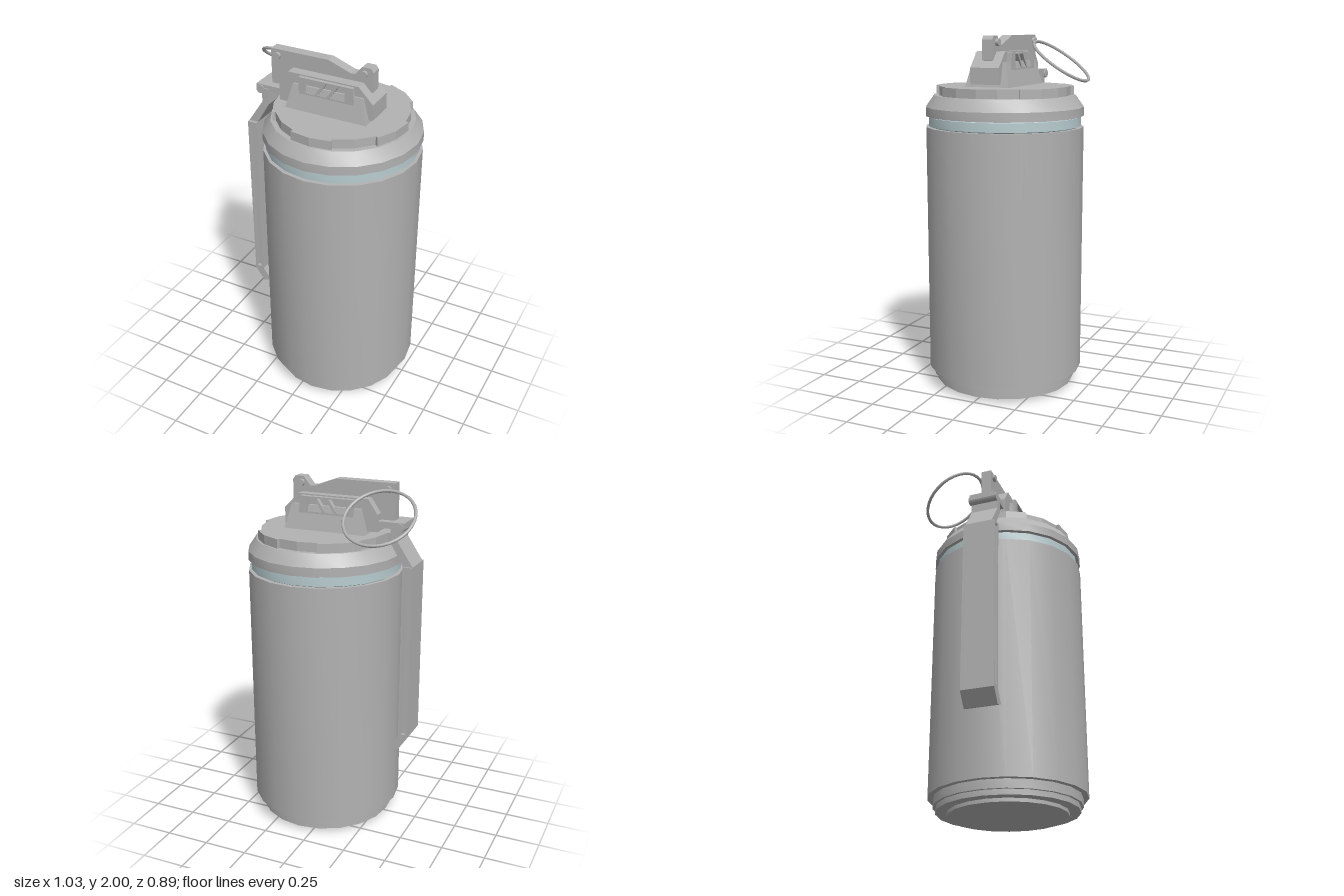
import * as THREE from 'three';
import { toCreasedNormals } from 'three/addons/utils/BufferGeometryUtils.js';

const CX = 0.077;      // axis of the can
const SX = 0.98;       // the can is very slightly oval
const SIDES = 20;

export function createModel() {
  const model = new THREE.Group();
  const grey = new THREE.MeshStandardMaterial({ name: 'grey metal', color: 0xb2b2b2 });
  const blue = new THREE.MeshStandardMaterial({ name: 'pale blue band', color: 0xb9cdd1 });

  const add = (name, geometry, material = grey) => {
    const mesh = new THREE.Mesh(geometry, material);
    mesh.name = name;
    model.add(mesh);
    return mesh;
  };

  // Turned part: smooth around, sharp at the steps
  const turned = (name, profile, material) => {
    const points = profile.map(([r, y]) => new THREE.Vector2(r, y));
    const mesh = add(name, toCreasedNormals(new THREE.LatheGeometry(points, SIDES), 0.4), material);
    mesh.position.x = CX;
    mesh.scale.x = SX;
    return mesh;
  };

  // Side profile in x and y, extruded from z0 to z1
  const toPath = (pts, Type) => new Type(pts.map(([x, y]) => new THREE.Vector2(x, y)));
  const slab = (name, pts, z0, z1, holes = []) => {
    const shape = toPath(pts, THREE.Shape);
    shape.holes = holes.map((h) => toPath(h, THREE.Path));
    const g = new THREE.ExtrudeGeometry(shape, { depth: z1 - z0, bevelEnabled: false });
    g.translate(0, 0, z0);
    return add(name, g);
  };

  const box = (name, x0, x1, y0, y1, z0, z1) => {
    const g = new THREE.BoxGeometry(x1 - x0, y1 - y0, z1 - z0);
    g.translate((x0 + x1) / 2, (y0 + y1) / 2, (z0 + z1) / 2);
    return add(name, g);
  };

  // Can with stepped foot
  turned('canBody', [
    [0, 0], [0.338, 0], [0.338, 0.02], [0.4, 0.02], [0.4, 0.05],
    [0.415, 0.05], [0.415, 0.1], [0.446, 0.1], [0.446, 1.5], [0.42, 1.5],
  ]);
  turned('colourBand', [[0.42, 1.5], [0.43, 1.505], [0.43, 1.555], [0.42, 1.56]], blue);
  turned('lid', [[0.42, 1.56], [0.446, 1.56], [0.446, 1.61], [0.4, 1.675], [0, 1.675]]);

  // Toothed cap: ten teeth and ten gaps
  const cog = [];
  for (let i = 0; i < 10; i++) {
    const r = i % 2 ? 0.388 : 0.37;
    for (const half of [-1, 0, 1]) {
      const a = Math.PI / 2 + (i * 2 + half) * Math.PI / 10;
      cog.push([r * Math.cos(a), r * Math.sin(a)]);
    }
  }
  for (let i = 10; i < 20; i++) cog.length = 30;
  const cap = slab('toothedCap', cog, 0, 0.05);
  cap.geometry.rotateX(-Math.PI / 2);
  cap.position.set(CX, 1.675, 0);
  cap.scale.x = SX;

  // Sloping base of the head: a box drawn in at the top
  const base = new THREE.BoxGeometry(1, 1, 1);
  const p = base.attributes.position;
  for (let i = 0; i < p.count; i++) {
    const top = p.getY(i) > 0;
    p.setXYZ(i,
      0.04 + Math.sign(p.getX(i)) * (top ? 0.205 : 0.24),
      top ? 1.86 : 1.725,
      0.015 + Math.sign(p.getZ(i)) * (top ? 0.1 : 0.13));
  }
  base.computeVertexNormals();
  add('headBase', base);

  // Chamfered core of the head
  slab('headCore', [
    [-0.255, 1.74], [0.298, 1.74], [0.298, 1.83], [0.215, 1.915], [-0.2, 1.915], [-0.255, 1.835],
  ], -0.066, 0.104);

  // Window panels on both flanks of the head
  const windows = [
    [[-0.085, 1.825], [-0.03, 1.825], [0.02, 1.9], [-0.085, 1.9]],
    [[-0.012, 1.825], [0.04, 1.825], [0.09, 1.9], [0.038, 1.9]],
    [[0.058, 1.825], [0.145, 1.825], [0.145, 1.9], [0.108, 1.9]],
  ];
  const panel = [[-0.125, 1.8], [0.2, 1.8], [0.19, 1.908], [-0.125, 1.908]];
  slab('windowPanelFront', panel, 0.104, 0.125, windows);
  slab('windowPanelBack', panel, -0.095, -0.066, windows);

  // Upright bar along the head, with its two cross pins
  slab('topBar', [
    [-0.335, 1.8], [-0.24, 1.8], [0.27, 1.87], [0.27, 1.98], [0.255, 2], [0.205, 2],
    [0.165, 1.952], [0.14, 1.952], [0.01, 2], [-0.335, 2],
  ], -0.016, 0.045);
  for (const x of [-0.295, 0.218]) {
    const g = new THREE.CylinderGeometry(0.02, 0.02, 0.096, 12);
    g.rotateX(Math.PI / 2);
    add('crossPin', g).position.set(x, 1.965, 0.014);
  }

  // Lever: hook, neck and a long channel with slotted flanks
  box('leverHook', -0.405, -0.22, 1.765, 1.8, -0.062, 0.095);
  const hinge = new THREE.CylinderGeometry(0.025, 0.025, 0.17, 10);
  hinge.rotateX(Math.PI / 2);
  add('leverHinge', hinge).position.set(-0.38, 1.772, 0.016);
  const neck = [[-0.46, 1.565], [-0.405, 1.565], [-0.33, 1.69], [-0.33, 1.78], [-0.37, 1.78], [-0.37, 1.7]];
  slab('leverNeck', neck, -0.062, 0.1);
  const lever = [[-0.46, 0.55], [-0.405, 0.468], [-0.355, 0.485], [-0.405, 0.56], [-0.405, 1.565], [-0.46, 1.565]];
  const slot = [[-0.448, 0.57], [-0.42, 0.57], [-0.42, 1.545], [-0.448, 1.545]];
  slab('leverCore', lever, -0.055, 0.1);
  slab('leverFlankFront', lever, 0.1, 0.118, [slot]);
  slab('leverFlankBack', lever, -0.073, -0.055, [slot]);

  // Pull ring hanging from the rear of the bar
  const ring = add('pullRing', new THREE.TorusGeometry(0.193, 0.009, 6, 32));
  ring.position.set(-0.313, 1.85, -0.19);
  ring.rotation.x = 0.95;

  return model;
}
